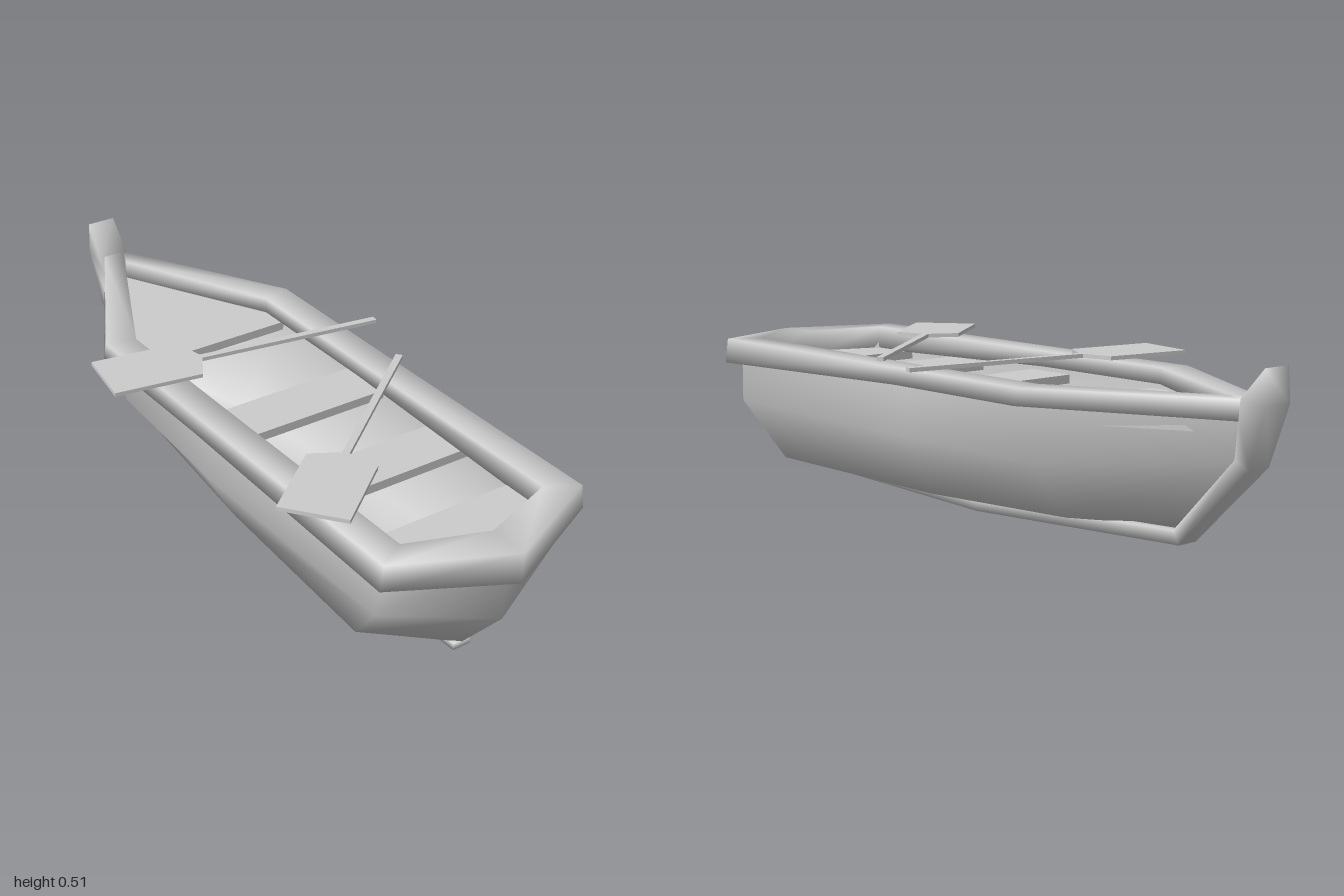
import * as THREE from 'three';
import { mergeVertices } from 'three/addons/utils/BufferGeometryUtils.js';

const material = new THREE.MeshStandardMaterial({ color: 0xcccccc, side: THREE.DoubleSide });

function mesh(name, geometry) {
  const m = new THREE.Mesh(geometry, material);
  m.name = name;
  return m;
}

// Smooth skin over equal-length rows of [x, y, z] points
function skin(rows, { loopRows = false, loopRing = false, caps = false } = {}) {
  const n = rows.length, k = rows[0].length, index = [];
  for (let i = 0; i < (loopRows ? n : n - 1); i++) {
    for (let j = 0; j < (loopRing ? k : k - 1); j++) {
      const a = i * k, b = ((i + 1) % n) * k, j2 = (j + 1) % k;
      index.push(a + j, b + j, b + j2, a + j, b + j2, a + j2);
    }
  }
  if (caps) {
    const e = (n - 1) * k;
    for (let j = 1; j < k - 1; j++) index.push(0, j, j + 1, e, e + j + 1, e + j);
  }
  const g = new THREE.BufferGeometry();
  g.setAttribute('position', new THREE.Float32BufferAttribute(rows.flat(2), 3));
  g.setIndex(index);
  const merged = mergeVertices(g);
  merged.computeVertexNormals();
  return merged;
}

// Flat board from an [x, z] outline, its top at y = 0
function board(outline, thickness) {
  const shape = new THREE.Shape(outline.map(([x, z]) => new THREE.Vector2(x, z)));
  return new THREE.ExtrudeGeometry(shape, { depth: thickness, bevelEnabled: false }).rotateX(Math.PI / 2);
}

const mirror = ([x, y, z]) => [-x, y, z];

// Shell from half sections, mirrored across the keel
const shell = (sections) => skin(sections.map((s) => [...s.map(mirror), ...s.slice(0, 3).reverse()]));

export function createModel() {
  const model = new THREE.Group();
  model.name = 'rowingBoat';
  const boat = new THREE.Group();
  boat.name = 'boat';
  boat.position.x = 0.025;
  model.add(boat);

  // Hull half sections, stern ridge to bow: gunwale, bilge, chine, keel
  const stations = [
    [[0, 0.38, 0.95], [0, 0.2, 0.94], [0, 0.04, 0.8], [0, 0.04, 0.8]],
    [[0.275, 0.38, 0.83], [0.289, 0.25, 0.81], [0.237, 0.09, 0.67], [0, 0.04, 0.8]],
    [[0.28, 0.39, 0.05], [0.285, 0.24, 0.05], [0.19, 0.072, 0.05], [0, 0.03, 0.05]],
    [[0.275, 0.39, -0.43], [0.25, 0.23, -0.43], [0.14, 0.078, -0.43], [0, 0.052, -0.45]],
    [[0.015, 0.4, -0.91], [0.01, 0.27, -0.91], [0.005, 0.1, -0.74], [0, 0.065, -0.71]],
  ];
  boat.add(mesh('hull', shell(stations)));

  // Inner lining with a flattened floor
  boat.add(mesh('lining', shell(stations.map((s) =>
    s.map(([x, y, z]) => [x * 0.92, Math.max(y, 0.07) + 0.02, z * 0.96])))));

  // Gunwale plan: outer x, z, inner x, z, bottom y, top y
  const rail = [
    [0, 0.998, 0, 0.885, 0.34, 0.427],
    [0.315, 0.86, 0.22, 0.81, 0.36, 0.43],
    [0.315, 0.05, 0.22, 0.05, 0.383, 0.427],
    [0.315, -0.43, 0.22, -0.41, 0.383, 0.427],
    [0.035, -0.92, 0.003, -0.85, 0.375, 0.427],
  ].map(([ox, oz, ix, iz, low, top]) => [
    [ox, low, oz], [ox * 0.97, top, oz], [ix, top, iz], [ix, low, iz],
  ]);
  const otherSide = rail.slice(1).reverse().map((ring) => ring.map(mirror));
  boat.add(mesh('gunwale', skin([...rail, ...otherSide], { loopRows: true, loopRing: true })));

  // Keel rising into the stem post: outer z, y, inner z, y, half width
  const keel = [
    [0.8, 0.025, 0.8, 0.045, 0.027],
    [0.05, 0, 0.05, 0.035, 0.027],
    [-0.72, 0.04, -0.7, 0.075, 0.03],
    [-0.945, 0.26, -0.9, 0.28, 0.036],
    [-1, 0.42, -0.915, 0.38, 0.042],
    [-0.993, 0.51, -0.92, 0.43, 0.042],
  ].map(([oz, oy, iz, iy, w]) => [[w, oy, oz], [w, iy, iz], [-w, iy, iz], [-w, oy, oz]]);
  boat.add(mesh('keelAndStem', skin(keel, { loopRing: true, caps: true })));

  // Thwarts, stern bench and bow deck
  const boards = {
    middleSeat: [[-0.25, -0.03], [0.25, -0.03], [0.25, 0.125], [-0.25, 0.125]],
    rowingSeat: [[-0.25, 0.34], [0.25, 0.34], [0.25, 0.49], [-0.25, 0.49]],
    sternBench: [[-0.25, 0.68], [0.25, 0.68], [0.25, 0.8], [0, 0.9], [-0.25, 0.8]],
  };
  for (const s of [-1, 1]) {
    boards[s > 0 ? 'bowDeckLeft' : 'bowDeckRight'] =
      [[0, -0.36], [s * 0.26, -0.36], [s * 0.26, -0.44], [s * 0.02, -0.89], [0, -0.89]];
  }
  for (const [name, outline] of Object.entries(boards)) {
    const b = mesh(name, board(outline, 0.025));
    b.position.y = 0.365;
    boat.add(b);
  }

  // Oars lying across the gunwales, from blade end to grip
  const oarOutline = [[0, -0.093], [0.252, -0.093], [0.285, -0.01], [0.82, -0.01],
    [0.82, 0.01], [0.285, 0.01], [0.252, 0.093], [0, 0.093]];
  const oars = [
    ['frontOar', -0.399, -0.235, 0.41, -0.1],
    ['rearOar', -0.307, 0.615, 0.33, 0.115],
  ];
  for (const [name, x, z, gripX, gripZ] of oars) {
    const oar = mesh(name, board(oarOutline, 0.011));
    oar.position.set(x, 0.45, z);
    oar.rotation.y = -Math.atan2(gripZ - z, gripX - x);
    model.add(oar);
  }
  return model;
}
